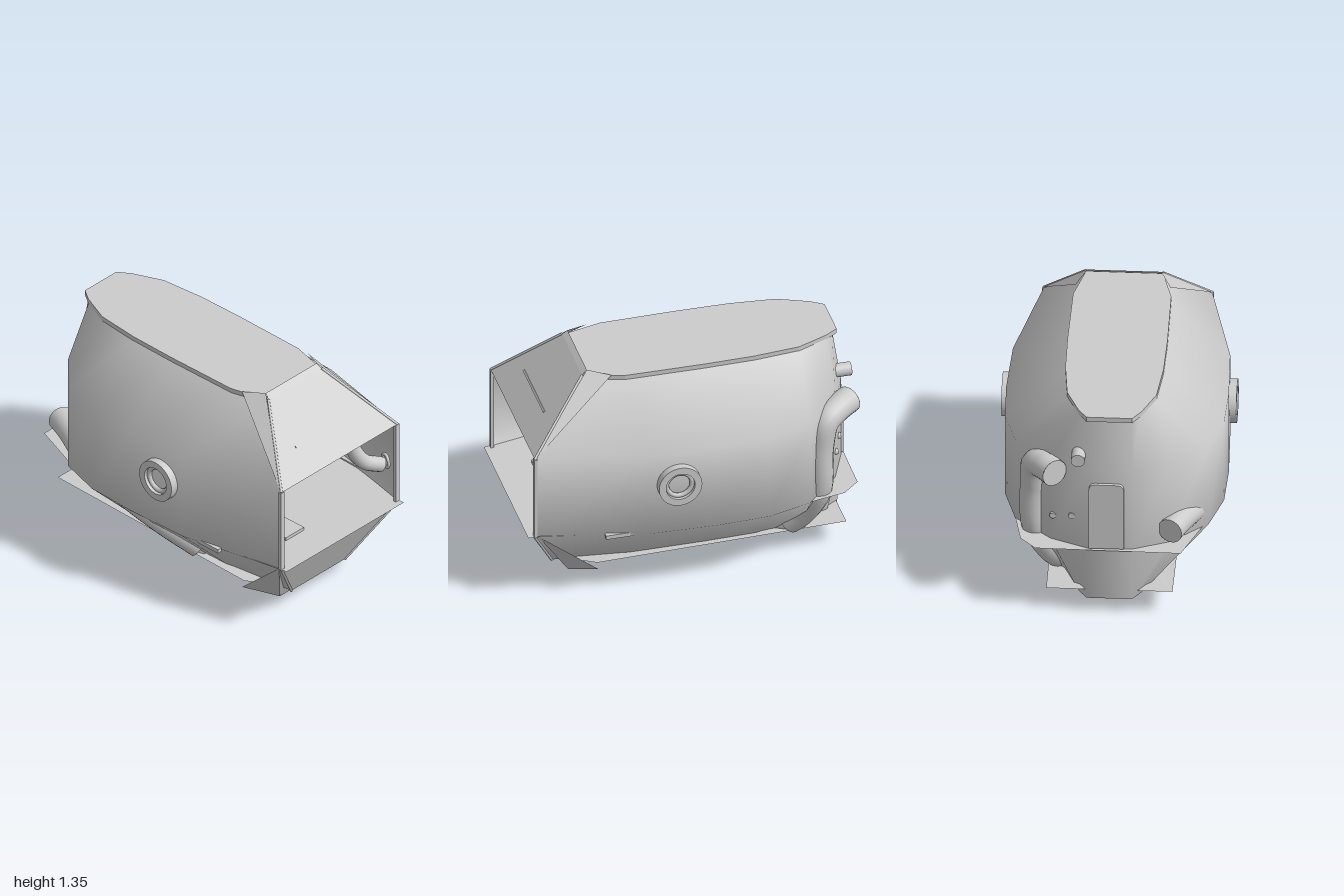
import * as THREE from 'three';
import { toCreasedNormals } from 'three/addons/utils/BufferGeometryUtils.js';

const grey = new THREE.MeshStandardMaterial({ color: 0xcccccc, side: THREE.DoubleSide });
const V = (p) => new THREE.Vector3(...p);

export function createModel() {
  const model = new THREE.Group();

  const add = (name, geo, pos = [0, 0, 0], rot = [0, 0, 0]) => {
    const m = new THREE.Mesh(geo, grey);
    m.name = name;
    m.position.set(...pos);
    m.rotation.set(...rot);
    model.add(m);
    return m;
  };
  const box = (name, size, pos, rot) => add(name, new THREE.BoxGeometry(...size), pos, rot);
  const cyl = (name, r, h, pos, rot, r2 = r) => add(name, new THREE.CylinderGeometry(r2, r, h, 24), pos, rot);
  const ring = (name, r, t, pos, rot) => add(name, new THREE.TorusGeometry(r, t, 8, 28), pos, rot);

  // Flat sheet spanning a convex outline of 3D corners
  const sheet = (name, pts) => {
    const geo = new THREE.BufferGeometry().setFromPoints(pts.map(V));
    const index = [];
    for (let i = 1; i < pts.length - 1; i++) index.push(0, i, i + 1);
    geo.setIndex(index);
    const flat = geo.toNonIndexed();
    flat.computeVertexNormals();
    return add(name, flat);
  };

  // Round pipe through points, with closed ends
  const pipe = (name, pts, r) => {
    const curve = new THREE.CatmullRomCurve3(pts.map(V), false, 'centripetal');
    add(name, new THREE.TubeGeometry(curve, 40, r, 16));
    for (const t of [0, 1]) {
      const cap = add(name + 'End', new THREE.CircleGeometry(r, 16), curve.getPoint(t).toArray());
      cap.quaternion.setFromUnitVectors(new THREE.Vector3(0, 0, 1), curve.getTangent(t));
    }
  };
  const mirrored = (half) => [...half, ...half.map(([x, z]) => [-x, z]).reverse()];

  // Hull: four horizontal outlines, from the front right corner around the rear
  const deckHalf = [[0.22, 0.6], [0.28, 0.36], [0.285, -0.1], [0.28, -0.4], [0.255, -0.67], [0.18, -0.85], [0.13, -0.925]];
  const shoulderHalf = deckHalf.map(([x, z]) => [x * 0.95, z < -0.9 ? -0.9 : z]);
  const beltHalf = [[0.48, 0.95], [0.62, 0.3], [0.635, -0.1], [0.625, -0.4], [0.55, -0.66], [0.34, -0.86], [0.13, -0.95]];
  const keelHalf = [[0.22, 0.78], ...deckHalf.slice(1)];
  const levels = [[1.3, shoulderHalf], [0.97, beltHalf], [0.44, beltHalf], [0.09, keelHalf]];
  const pos = [];
  const index = [];
  const n = deckHalf.length * 2;
  levels.forEach(([y, half], r) => {
    mirrored(half).forEach(([x, z], i) => {
      pos.push(x, y, z);
      if (r < 3 && i < n - 1) {
        const a = r * n + i;
        index.push(a, a + 1, a + n, a + 1, a + n + 1, a + n);
      }
    });
  });
  const hull = new THREE.BufferGeometry();
  hull.setAttribute('position', new THREE.Float32BufferAttribute(pos, 3));
  hull.setIndex(index);
  add('hull', toCreasedNormals(hull, 1.3));

  // Deck plate overhanging the hull a little
  const deckShape = new THREE.Shape(mirrored(deckHalf).map(([x, z]) => new THREE.Vector2(x, -z)));
  add('deckPlate', new THREE.ExtrudeGeometry(deckShape, { depth: 0.03, bevelEnabled: false }),
    [0, 1.285, 0], [-Math.PI / 2, 0, 0]);

  // Sloping front panels and corner plates
  sheet('upperFrontPanel', [[-0.48, 0.97, 0.95], [0.48, 0.97, 0.95], [0.22, 1.32, 0.6], [-0.22, 1.32, 0.6]]);
  sheet('lowerFrontPanel', [[-0.22, 0.09, 0.78], [0.22, 0.09, 0.78], [0.48, 0.44, 0.95], [-0.48, 0.44, 0.95]]);
  sheet('upperLip', [[-0.22, 1.32, 0.6], [0.22, 1.32, 0.6], [0.21, 1.345, 0.57], [-0.21, 1.345, 0.57]]);
  for (const s of [-1, 1]) {
    sheet('upperCornerPlate', [[s * 0.485, 0.97, 0.95], [s * 0.21, 1.345, 0.57], [s * 0.27, 1.325, 0.44]]);
    sheet('lowerCornerPlate', [[s * 0.48, 0.44, 0.93], [s * 0.22, 0.1, 0.73], [s * 0.21, 0, 0.68],
      [s * 0.38, 0.085, 0.545]]);
    pipe('upperPanelTrim', [[s * 0.48, 0.97, 0.95], [s * 0.22, 1.32, 0.6]], 0.008);
    pipe('lowerPanelTrim', [[s * 0.48, 0.44, 0.95], [s * 0.22, 0.09, 0.78]], 0.008);
    box('windowPost', [0.03, 0.53, 0.02], [s * 0.475, 0.705, 0.945]);
  }
  box('frontSlot', [0.44, 0.012, 0.012], [-0.01, 1.1, 0.82], [-0.78, 0, 0]);
  sheet('lowerFlap', [[-0.21, 0, 0.68], [0.21, 0, 0.68], [0.22, 0.1, 0.73], [-0.22, 0.1, 0.73]]);

  // Cabin floor and bottom sheets, whose corners reach past the hull
  sheet('cabinFloor', [[-0.48, 0.445, 0.99], [0.49, 0.445, 0.99], [0.49, 0.445, 0.93], [0.56, 0.445, 0.56],
    [0.6, 0.445, -0.4], [0.51, 0.445, -0.87], [0.42, 0.445, -0.97], [-0.41, 0.445, -0.98],
    [-0.53, 0.445, -0.66], [-0.56, 0.445, 0.56], [-0.48, 0.445, 0.93]]);
  sheet('bottomSheet', [[-0.36, 0.145, -0.92], [0.36, 0.145, -0.92], [0.37, 0.125, 0.55], [0.22, 0.11, 0.77],
    [-0.22, 0.11, 0.77], [-0.37, 0.125, 0.55]]);

  // Pipe under the bottom joining both exhausts, with a valve handle
  pipe('bottomPipe', [[0.3, 0.16, -0.6], [0.14, 0.15, -0.3], [0.02, 0.15, -0.04], [-0.14, 0.15, 0.08],
    [-0.34, 0.17, 0.17]], 0.055);
  box('bottomHandle', [0.18, 0.03, 0.04], [0.02, 0.105, -0.05]);

  // Side portholes and small grips
  const portShape = new THREE.Shape().absarc(0, 0, 0.127, 0, Math.PI * 2);
  portShape.holes.push(new THREE.Path().absarc(0, 0, 0.085, 0, Math.PI * 2, true));
  const portGeo = new THREE.ExtrudeGeometry(portShape, { depth: 0.07, bevelEnabled: false, curveSegments: 24 });
  for (const s of [-1, 1]) {
    add('porthole', portGeo, [s * 0.6, 0.765, 0.14], [0, s * Math.PI / 2, 0]);
    ring('portholeRim', 0.075, 0.014, [s * 0.64, 0.765, 0.14], [0, Math.PI / 2, 0]);
    box('sideGrip', [0.03, 0.025, 0.16], [s * 0.58, 0.44, 0.48]);
  }

  // Rear door with window and hand wheel, seen from both sides
  const door = new THREE.Shape();
  door.moveTo(-0.1, 0);
  door.lineTo(0.1, 0);
  door.lineTo(0.1, 0.39);
  door.quadraticCurveTo(0.1, 0.43, 0.06, 0.43);
  door.lineTo(-0.06, 0.43);
  door.quadraticCurveTo(-0.1, 0.43, -0.1, 0.39);
  add('rearDoor', new THREE.ExtrudeGeometry(door, { depth: 0.04, bevelEnabled: false }), [0.015, 0.455, -0.97]);
  ring('doorWindow', 0.052, 0.012, [0.015, 0.765, -0.93]);
  ring('doorWheel', 0.026, 0.005, [0.015, 0.62, -0.92]);
  for (let i = 0; i < 3; i++) {
    const a = Math.PI / 2 + (i * Math.PI * 2) / 3;
    box('doorWheelSpoke', [0.026, 0.006, 0.006],
      [0.015 + Math.cos(a) * 0.013, 0.62 + Math.sin(a) * 0.013, -0.92], [0, 0, a]);
  }
  for (const [x, y, z] of [[0.215, 0.64, -0.91], [0.325, 0.61, -0.865]])
    cyl('rearBolt', 0.018, 0.03, [x, y, z], [Math.PI / 2, 0, 0]);

  // Outer pipes
  pipe('rightExhaust', [[0.29, 0.165, -0.6], [0.34, 0.25, -0.67], [0.43, 0.45, -0.735], [0.44, 0.75, -0.745],
    [0.43, 0.9, -0.78], [0.37, 0.94, -0.87], [0.31, 0.945, -0.95]], 0.08);
  pipe('leftExhaust', [[-0.345, 0.55, -0.91], [-0.4, 0.55, -0.78], [-0.5, 0.52, -0.54], [-0.53, 0.45, -0.25],
    [-0.47, 0.33, 0.02], [-0.34, 0.18, 0.17]], 0.075);
  cyl('rearVent', 0.04, 0.17, [0.175, 1.06, -0.91], [Math.PI / 2, 0, 0]);

  // Cabin pipes and column
  pipe('leftCabinPipe', [[-0.2, 0.45, -0.35], [-0.18, 0.65, -0.35], [-0.17, 0.8, -0.37], [-0.14, 0.87, -0.45]], 0.042);
  pipe('rightCabinPipe', [[0.24, 1.03, 0.78], [0.25, 0.88, 0.8], [0.31, 0.75, 0.84], [0.42, 0.69, 0.88]], 0.045);
  ring('rightCabinValve', 0.04, 0.01, [0.455, 0.7, 0.88], [0, 1.2, 0]);
  pipe('cornerPipe', [[0.42, 0.45, -0.3], [0.42, 0.7, -0.3], [0.4, 0.85, -0.32], [0.32, 0.95, -0.4]], 0.048);
  cyl('column', 0.048, 0.84, [0.18, 0.87, -0.25]);

  // Gears beside the column
  const gear = (x, y, z, r) => {
    cyl('gear', r, 0.03, [x, y, z], [Math.PI / 2, 0, 0]);
    ring('gearHub', r * 0.35, 0.008, [x, y, z + 0.016]);
    for (let i = 0; i < 16; i++) {
      const a = (i * Math.PI) / 8;
      box('gearTooth', [0.02, 0.015, 0.03], [x + Math.cos(a) * r, y + Math.sin(a) * r, z], [0, 0, a]);
    }
  };
  gear(0.3, 0.61, -0.1, 0.06);
  gear(0.24, 0.69, -0.14, 0.05);
  gear(0.15, 0.77, -0.18, 0.03);

  // Control arm with knob, pedestal seat and low floor boards
  pipe('controlArm', [[-0.44, 0.57, 0.55], [-0.36, 0.56, 0.55], [-0.19, 0.555, 0.55]], 0.02);
  cyl('controlKnob', 0.014, 0.04, [-0.27, 0.575, 0.55]);
  cyl('controlKnobTop', 0.036, 0.012, [-0.27, 0.598, 0.55]);
  cyl('pedestal', 0.08, 0.16, [-0.37, 0.525, 0.42], [0, 0, 0], 0.06);
  box('floorBoard', [0.15, 0.02, 0.48], [-0.18, 0.455, 0.53]);
  box('floorStep', [0.2, 0.02, 0.3], [0.08, 0.455, 0.05]);

  return model;
}
